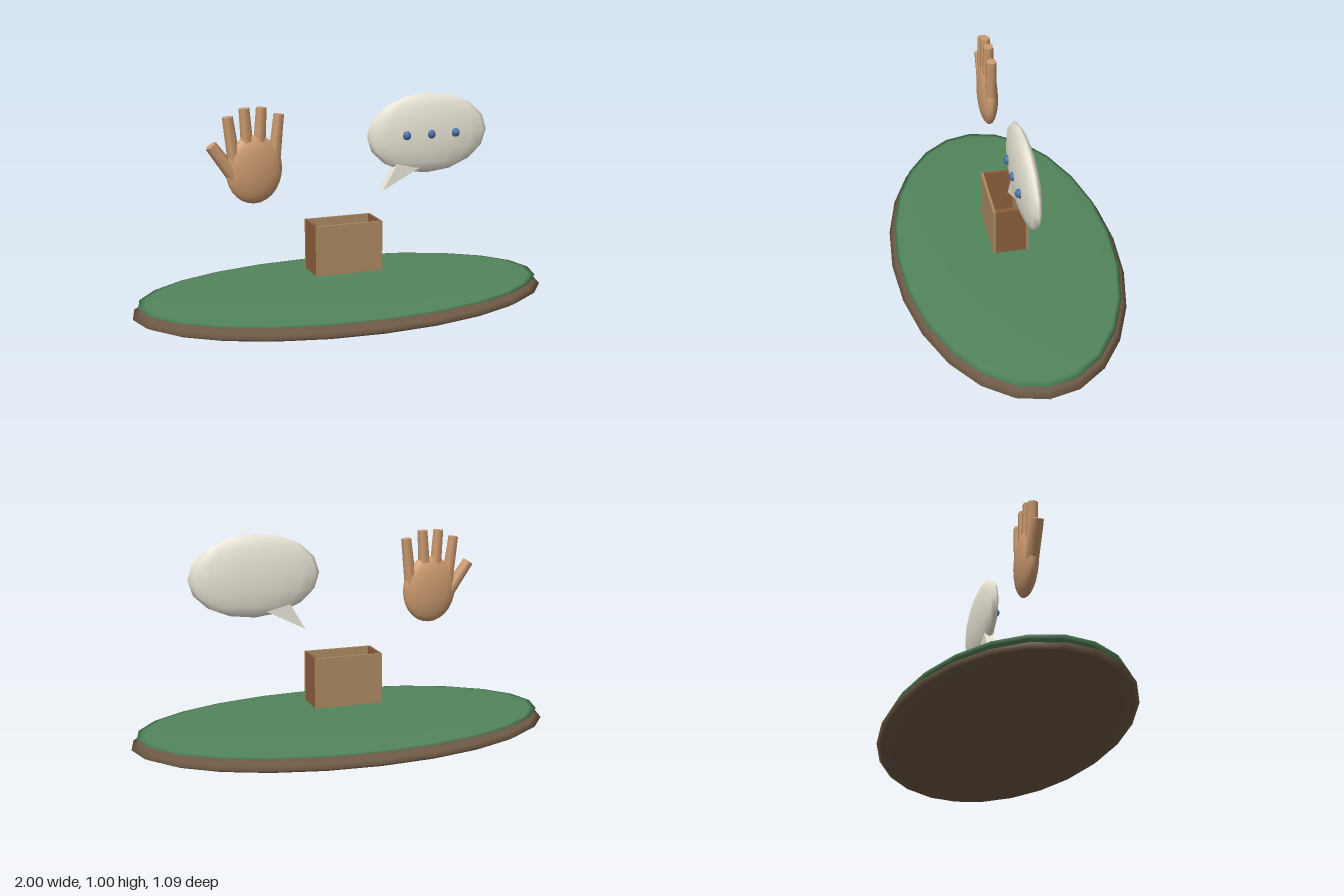
import * as THREE from 'three';

const mat = (color, side = THREE.FrontSide) => new THREE.MeshStandardMaterial({ color, side });
const EARTH = mat(0x6e5945), GRASS = mat(0x52855c), SKIN = mat(0xcb9a6e);
const TAN = mat(0xac8a62), BROWN = mat(0x8b5e3c), CREAM = mat(0xebe7d8), BLUE = mat(0x4a6fa5);

function add(parent, name, geometry, material, x = 0, y = 0, z = 0) {
  const mesh = new THREE.Mesh(geometry, material);
  mesh.name = name;
  mesh.position.set(x, y, z);
  parent.add(mesh);
  return mesh;
}

function ellipsoid(parent, name, material, pos, radii, w, h) {
  const mesh = add(parent, name, new THREE.SphereGeometry(1, w, h), material, ...pos);
  mesh.scale.set(...radii);
  return mesh;
}

// Tapered six-sided finger from its root to its tip
function finger(parent, name, root, tip, rTip, rRoot) {
  const a = new THREE.Vector3(...root, 0), b = new THREE.Vector3(...tip, 0);
  const dir = b.clone().sub(a);
  const geo = new THREE.CylinderGeometry(rTip, rRoot, dir.length(), 6, 1, false, Math.PI / 6);
  const mesh = add(parent, name, geo, SKIN);
  mesh.position.copy(a).add(b).multiplyScalar(0.5);
  mesh.quaternion.setFromUnitVectors(new THREE.Vector3(0, 1, 0), dir.normalize());
}

function group(parent, name) {
  const g = new THREE.Group();
  g.name = name;
  parent.add(g);
  return g;
}

export function createModel() {
  const model = new THREE.Group();
  model.name = 'model';

  // Oval island: earth below, grass on top
  const island = group(model, 'island');
  ellipsoid(island, 'earth', EARTH, [0, 0.06, 0], [1, 0.056, 0.545], 24, 12);
  ellipsoid(island, 'grass', GRASS, [0, 0.105, 0], [0.975, 0.017, 0.52], 24, 12);

  // Open box made of five panels
  const box = group(model, 'openBox');
  const t = 0.012, w = 0.324, d = 0.166, h = 0.235, y0 = 0.195;
  add(box, 'boxFloor', new THREE.BoxGeometry(w - 2 * t, t, d - 2 * t), BROWN, 0, y0 + t / 2, 0);
  for (const s of [1, -1]) {
    add(box, s > 0 ? 'boxFront' : 'boxBack', new THREE.BoxGeometry(w, h, t), TAN,
      0, y0 + h / 2, s * (d - t) / 2);
    add(box, s > 0 ? 'boxLeftSide' : 'boxRightSide', new THREE.BoxGeometry(t, h, d - 2 * t), BROWN,
      s * (w - t) / 2, y0 + h / 2, 0);
  }

  // Raised hand
  const hand = group(model, 'hand');
  ellipsoid(hand, 'palm', SKIN, [-0.428, 0.702, 0], [0.132, 0.157, 0.047], 20, 14);
  [
    [[-0.518, 0.73], [-0.547, 0.946]],
    [[-0.455, 0.76], [-0.47, 0.98]],
    [[-0.405, 0.76], [-0.39, 0.98]],
    [[-0.334, 0.73], [-0.309, 0.946]],
  ].forEach(([root, tip], i) => finger(hand, `finger${i + 1}`, root, tip, 0.025, 0.03));
  finger(hand, 'thumb', [-0.52, 0.675], [-0.625, 0.822], 0.028, 0.033);

  // Speech bubble with a wedge tail and three dots
  const bubble = group(model, 'speechBubble');
  ellipsoid(bubble, 'bubbleBody', CREAM, [0.42, 0.815, 0], [0.305, 0.19, 0.047], 16, 8);
  const wedge = new THREE.Shape([[0.19, 0.56], [0.395, 0.665], [0.275, 0.705]]
    .map(([x, y]) => new THREE.Vector2(x, y)));
  add(bubble, 'bubbleTail', new THREE.ExtrudeGeometry(wedge, { depth: 0.044, bevelEnabled: false }),
    CREAM, 0, 0, -0.022);
  for (let i = -1; i <= 1; i++) {
    ellipsoid(bubble, `dot${i + 2}`, BLUE, [0.422 + i * 0.124, 0.815, 0.043], [0.02, 0.021, 0.02], 10, 8);
  }

  return model;
}
